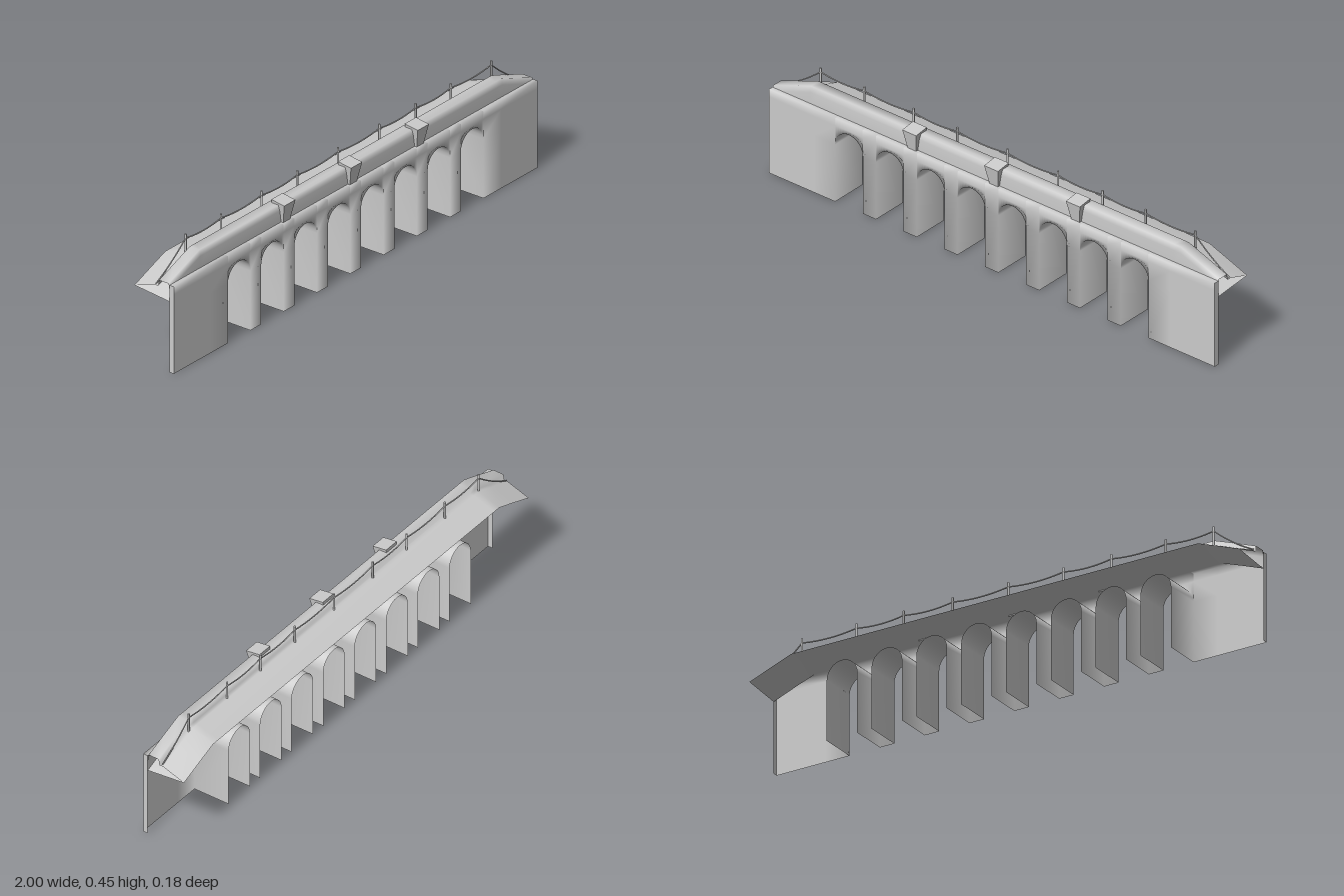
import * as THREE from 'three';
import { mergeGeometries, mergeVertices } from 'three/addons/utils/BufferGeometryUtils.js';

const stone = new THREE.MeshStandardMaterial({ color: 0xcccccc, side: THREE.DoubleSide });

// Sheet through a row of equal-length sections of [x, y, z] points
function sheet(sections) {
  const n = sections[0].length, index = [];
  for (let i = 0; i < sections.length - 1; i++) {
    for (let j = 0; j < n - 1; j++) {
      const a = i * n + j, b = a + n;
      index.push(a, b, b + 1, a, b + 1, a + 1);
    }
  }
  const g = new THREE.BufferGeometry();
  g.setAttribute('position', new THREE.Float32BufferAttribute(sections.flat(2), 3));
  g.setIndex(index);
  return g;
}

// Weld the sheets together and shade them smoothly
function smooth(list) {
  const g = mergeVertices(mergeGeometries(list), 1e-5);
  g.computeVertexNormals();
  return g;
}

export function createModel() {
  const model = new THREE.Group();
  const add = (name, geometry, parent = model) => {
    const mesh = new THREE.Mesh(geometry, stone);
    mesh.name = name;
    parent.add(mesh);
    return mesh;
  };

  const FRONT = 0.085, INNER = 0.066, BACK = -0.06, TOP = 0.335;
  const SPRING = 0.229, RADIUS = 0.062, PITCH = 0.183, ARCHES = 8, STEPS = 14;

  // Outline of one arch opening, from left foot to right foot
  const archPath = (cx) => {
    const path = [[cx - RADIUS, 0]];
    for (let k = 0; k <= STEPS; k++) {
      const t = Math.PI * (1 - k / STEPS);
      path.push([cx + RADIUS * Math.cos(t), SPRING + RADIUS * Math.sin(t)]);
    }
    path.push([cx + RADIUS, 0]);
    return path;
  };
  const arches = Array.from({ length: ARCHES }, (_, i) => archPath((i - (ARCHES - 1) / 2) * PITCH));

  // Front wall with its top ledge, and the arch linings running back from it
  const lower = [[-1, 0], [-0.8, 0], ...arches.flat(), [0.8, 0], [1, 0]];
  const wall = sheet(lower.map(([x, y]) => [
    [x, y, FRONT], [x, Math.max(y, SPRING), FRONT], [x, 0.305, FRONT], [x, TOP, FRONT], [x, TOP, INNER],
  ]));
  const linings = arches.map((path) => sheet(path.map(([x, y]) => [[x, y, BACK], [x, y, FRONT]])));
  add('arcadeWall', smooth([wall, ...linings]));

  // Narrow returns closing the wall ends
  for (const s of [-1, 1]) {
    const end = add(s < 0 ? 'rightWallEnd' : 'leftWallEnd', new THREE.PlaneGeometry(FRONT - INNER, TOP));
    end.position.set(s, TOP / 2, (FRONT + INNER) / 2);
    end.rotation.y = s * Math.PI / 2;
  }

  // Deck and parapet: one section that ramps down at both ends
  const ramp = [[-1, -0.063], [-0.91, -0.029], [-0.83, 0], [-0.8, 0], [0.8, 0], [0.83, 0], [0.91, -0.029], [1, -0.063]];
  const loft = (profile) => smooth([sheet(ramp.map(([x, drop]) => profile.map(([z, y]) => [x, y + drop, z])))]);
  add('deck', loft([[INNER, TOP], [INNER, 0.38], [0.062, 0.403], [0.02, 0.403], [0.016, 0.38], [0, 0.38], [-0.088, 0.35]]));
  add('deckUnderside', loft([[-0.088, 0.35], [INNER, TOP]]));

  // Flared blocks on the parapet
  for (const x of [-0.367, 0, 0.367]) {
    const g = new THREE.BoxGeometry(1, 1, 1);
    const p = g.attributes.position;
    for (let i = 0; i < p.count; i++) {
      const up = p.getY(i) > 0, fore = p.getZ(i) > 0;
      p.setXYZ(i, p.getX(i) * (up ? 0.062 : 0.038),
        up ? (fore ? 0.408 : 0.416) : TOP,
        fore ? (up ? 0.089 : 0.075) : 0.032);
    }
    const flat = g.toNonIndexed();
    flat.computeVertexNormals();
    add('parapetBlock', flat).position.x = x;
  }

  // Railing posts joined by sagging ropes
  const railing = new THREE.Group();
  railing.name = 'railing';
  model.add(railing);
  const Z = 0.005, ROPE = 0.432;
  const posts = [-0.835, -0.64, -0.418, -0.222, 0.003, 0.23, 0.43, 0.623, 0.845];
  const rope = (x0, y0, x1, y1, sag) => {
    const curve = new THREE.QuadraticBezierCurve3(
      new THREE.Vector3(x0, y0, Z),
      new THREE.Vector3((x0 + x1) / 2, (y0 + y1) / 2 - 2 * sag, Z),
      new THREE.Vector3(x1, y1, Z));
    add('rope', new THREE.TubeGeometry(curve, 10, 0.0025, 6), railing);
  };
  posts.forEach((x, i) => {
    add('post', new THREE.CylinderGeometry(0.004, 0.004, 0.08, 8), railing).position.set(x, 0.408, Z);
    if (i > 0) rope(posts[i - 1], ROPE, x, ROPE, 0.009);
  });
  rope(-0.998, 0.322, posts[0], ROPE, 0.008);
  rope(posts[8], ROPE, 0.998, 0.322, 0.008);

  return model;
}
